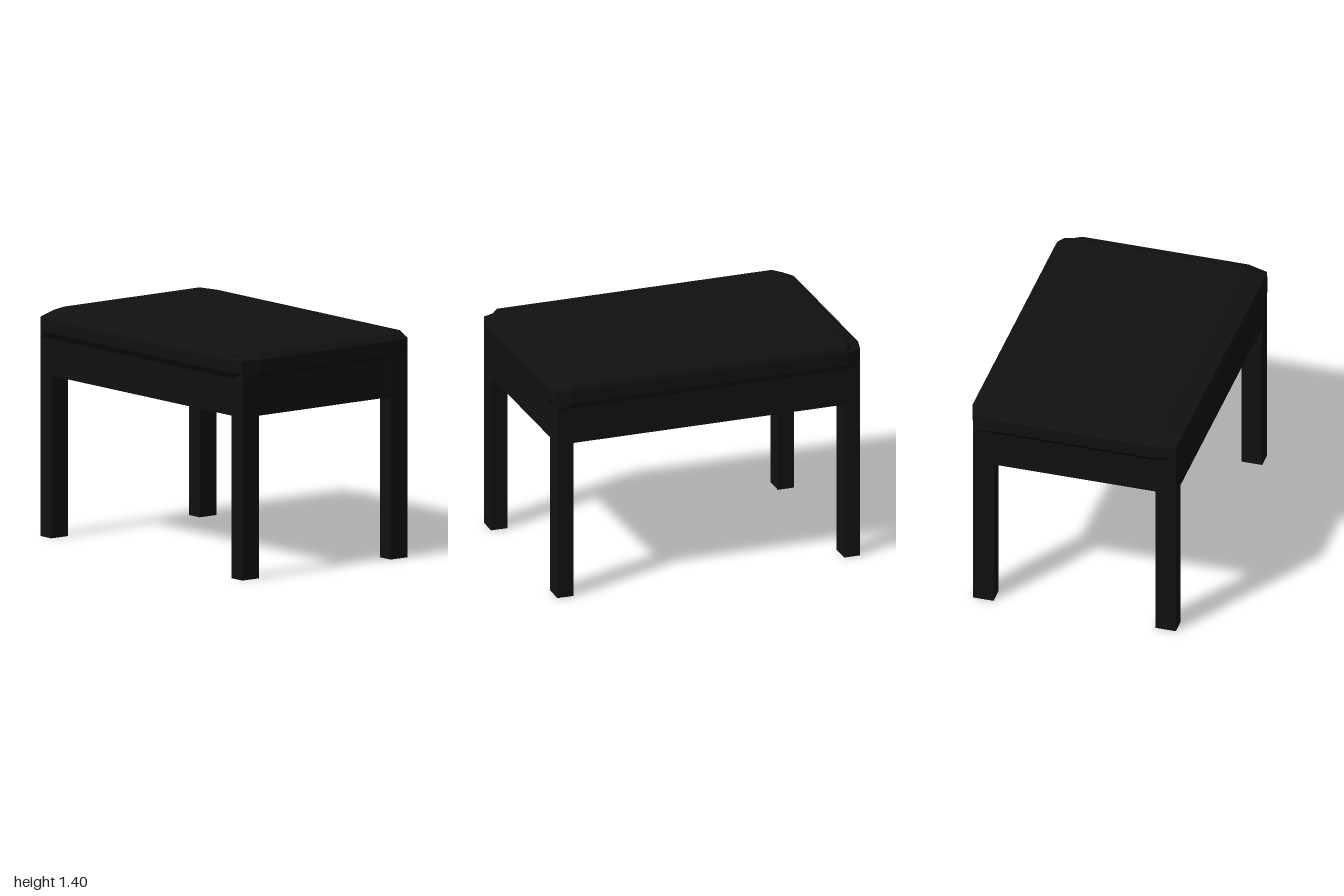
import * as THREE from 'three';

const material = new THREE.MeshStandardMaterial({ color: 0x111111, flatShading: true });

function box(name, w, h, d, x, y, z) {
  const mesh = new THREE.Mesh(new THREE.BoxGeometry(w, h, d), material);
  mesh.name = name;
  mesh.position.set(x, y, z);
  return mesh;
}

// Twelve-sided outline: three [x, z] points for one corner, mirrored to the others
function outline(y, corner) {
  const back = [...corner].reverse();
  const flip = (pts, sx, sz) => pts.map(([x, z]) => new THREE.Vector3(sx * x, y, sz * z));
  return [...flip(corner, 1, 1), ...flip(back, -1, 1), ...flip(corner, -1, -1), ...flip(back, 1, -1)];
}

// Padded seat lofted through stacked outlines, closed above and below
function cushion() {
  const rings = [
    outline(1.22, [[0.97, 0.52], [0.97, 0.635], [0.88, 0.635]]),
    outline(1.26, [[1, 0.52], [0.97, 0.635], [0.88, 0.665]]),
    outline(1.34, [[1, 0.52], [0.97, 0.635], [0.88, 0.665]]),
    outline(1.372, [[0.97, 0.52], [0.93, 0.59], [0.88, 0.65]]),
    outline(1.4, [[0.885, 0.52], [0.885, 0.52], [0.885, 0.52]]),
  ];
  const n = 12;
  const points = [];
  for (let r = 0; r < rings.length - 1; r++) {
    for (let i = 0; i < n; i++) {
      const k = (i + 1) % n;
      const [a, b, c, d] = [rings[r][i], rings[r][k], rings[r + 1][i], rings[r + 1][k]];
      points.push(a, c, b, b, c, d);
    }
  }
  const top = new THREE.Vector3(0, 1.4, 0);
  const bottom = new THREE.Vector3(0, 1.22, 0);
  for (let i = 0; i < n; i++) {
    const k = (i + 1) % n;
    points.push(top, rings[4][k], rings[4][i], bottom, rings[0][i], rings[0][k]);
  }
  // Drop the collapsed triangles at the corners of the flat top
  const kept = [];
  for (let i = 0; i < points.length; i += 3) {
    const tri = new THREE.Triangle(points[i], points[i + 1], points[i + 2]);
    if (tri.getArea() > 1e-8) kept.push(tri.a, tri.b, tri.c);
  }
  const geometry = new THREE.BufferGeometry().setFromPoints(kept);
  geometry.computeVertexNormals();
  const mesh = new THREE.Mesh(geometry, material);
  mesh.name = 'cushion';
  return mesh;
}

export function createModel() {
  const group = new THREE.Group();
  group.name = 'stool';

  group.add(cushion());

  // Closed frame under the seat
  group.add(box('apron', 1.934, 0.23, 1.264, 0, 1.107, 0));

  // Four square-cut legs rising to the seat
  for (const sx of [1, -1]) {
    for (const sz of [1, -1]) {
      const name = (sz > 0 ? 'front' : 'back') + (sx > 0 ? 'Left' : 'Right') + 'Leg';
      group.add(box(name, 0.103, 1.222, 0.128, sx * 0.9185, 0.611, sz * 0.571));
    }
  }
  return group;
}
